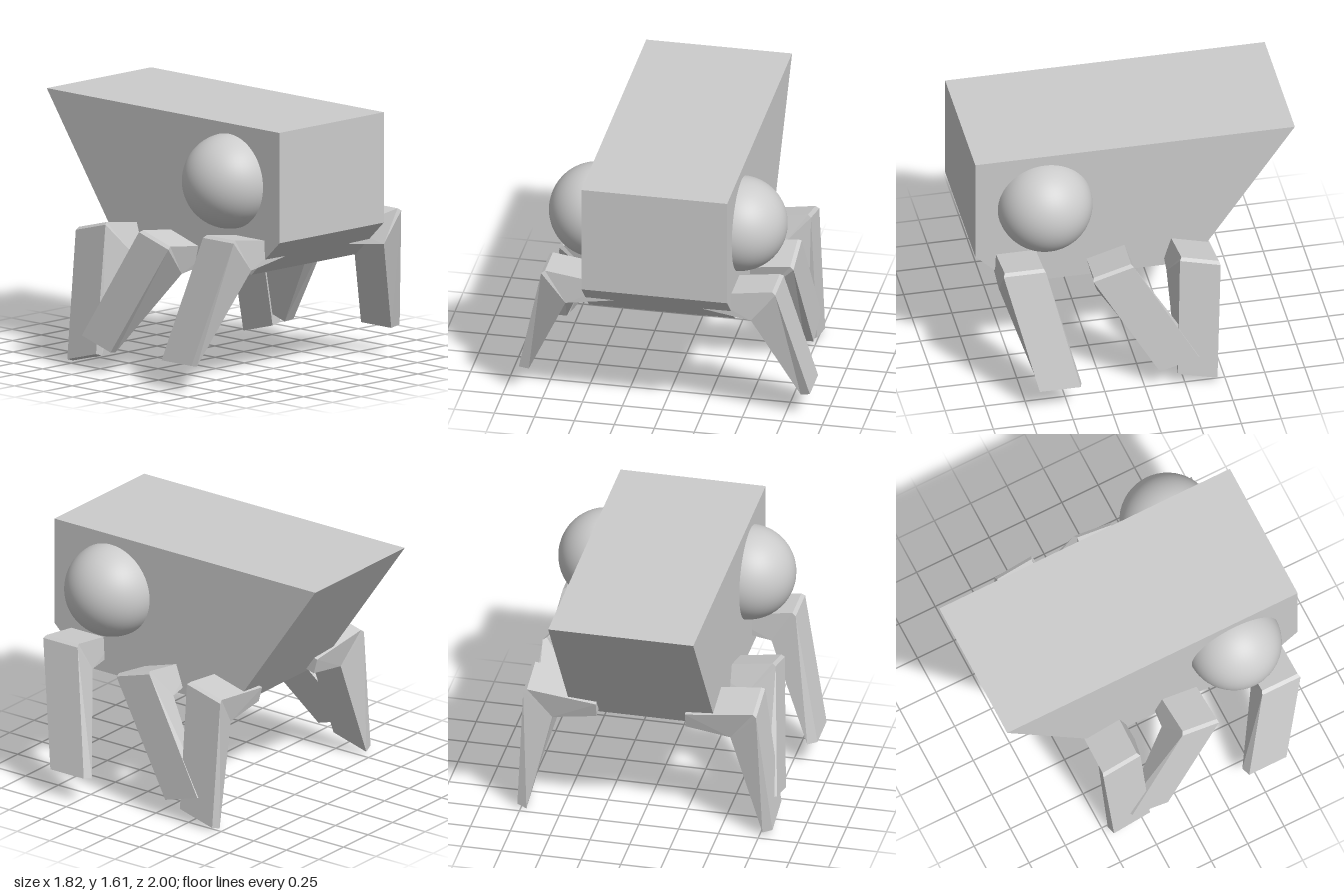
import * as THREE from 'three';

const HALF = 0.456;

// Wedge-shaped body: side profile (z, y) extruded across x
function bodyGeometry() {
  const profile = [[1, 1.6], [-1, 1.6], [-0.36, 0.68], [0.76, 0.68], [1, 0.91]];
  const shape = new THREE.Shape(profile.map(([z, y]) => new THREE.Vector2(z, y)));
  const geo = new THREE.ExtrudeGeometry(shape, { depth: HALF * 2, bevelEnabled: false });
  geo.translate(0, 0, -HALF);
  geo.rotateY(-Math.PI / 2);
  return geo;
}

// Bent leg: a hip-knee-foot outline given width along z.
// Outline entries: [x, y, z offset, half width], relative to the knee in y and z.
function legGeometry(side, footX, drop, kneeInX) {
  const outline = [
    [0.28, -0.06, 0, 0.125],                  // hip top
    [0.71, 0, 0, 0.122],                      // knee top
    [0.732, -0.015, 0, 0.132],                // knee outer edge
    [footX, -drop, -0.185, 0.128],            // foot outer
    [footX - 0.06, -drop - 0.015, -0.2, 0.13], // foot inner
    [kneeInX, -0.205, 0, 0.132],              // knee inner corner
    [0.28, -0.16, 0, 0.125],                  // hip bottom
  ];
  const n = outline.length;
  const point = (i, end) => {
    const [x, y, z, w] = outline[i];
    return [x * side, y, z + end * w];
  };
  const pos = [];
  const tri = (a, b, c) => pos.push(...(side > 0 ? [a, b, c] : [a, c, b]).flat());
  // front and back caps
  for (const [a, b, c] of [[0, 6, 5], [0, 5, 1], [1, 5, 2], [2, 5, 4], [2, 4, 3]]) {
    tri(point(a, 1), point(b, 1), point(c, 1));
    tri(point(a, -1), point(c, -1), point(b, -1));
  }
  // walls around the outline
  for (let i = 0; i < n; i++) {
    const j = (i + 1) % n;
    tri(point(i, 1), point(j, 1), point(j, -1));
    tri(point(i, 1), point(j, -1), point(i, -1));
  }
  const geo = new THREE.BufferGeometry();
  geo.setAttribute('position', new THREE.Float32BufferAttribute(pos, 3));
  geo.computeVertexNormals();
  return geo;
}

export function createModel() {
  const group = new THREE.Group();
  const grey = new THREE.MeshStandardMaterial({ color: 0xcccccc });
  grey.name = 'light grey';

  const add = (name, geo) => {
    const mesh = new THREE.Mesh(geo, grey);
    mesh.name = name;
    group.add(mesh);
    return mesh;
  };

  add('body', bodyGeometry());

  // Legs: knee height, knee z, pitch, and foot reach and drop for each side
  const legs = [
    { name: 'FrontLeg', y: 0.945, z: 0.747, pitch: 0, inX: 0.58, left: [0.91, 0.78], right: [0.91, 0.78] },
    { name: 'MiddleLeg', y: 0.865, z: 0.195, pitch: 0.29, inX: 0.56, left: [0.775, 0.805], right: [0.83, 0.785] },
    { name: 'RearLeg', y: 0.875, z: -0.355, pitch: -0.26, inX: 0.56, left: [0.775, 0.81], right: [0.83, 0.785] },
  ];

  for (const [label, side] of [['left', 1], ['right', -1]]) {
    // bulging round eyes
    const eye = add(label + 'Eye', new THREE.SphereGeometry(0.295, 48, 32));
    eye.position.set(side * 0.446, 1.24, 0.565);

    for (const leg of legs) {
      const [footX, drop] = leg[label];
      const mesh = add(label + leg.name, legGeometry(side, footX, drop, leg.inX));
      mesh.rotation.x = leg.pitch;
      mesh.position.set(0, leg.y, leg.z);
    }
  }
  return group;
}
